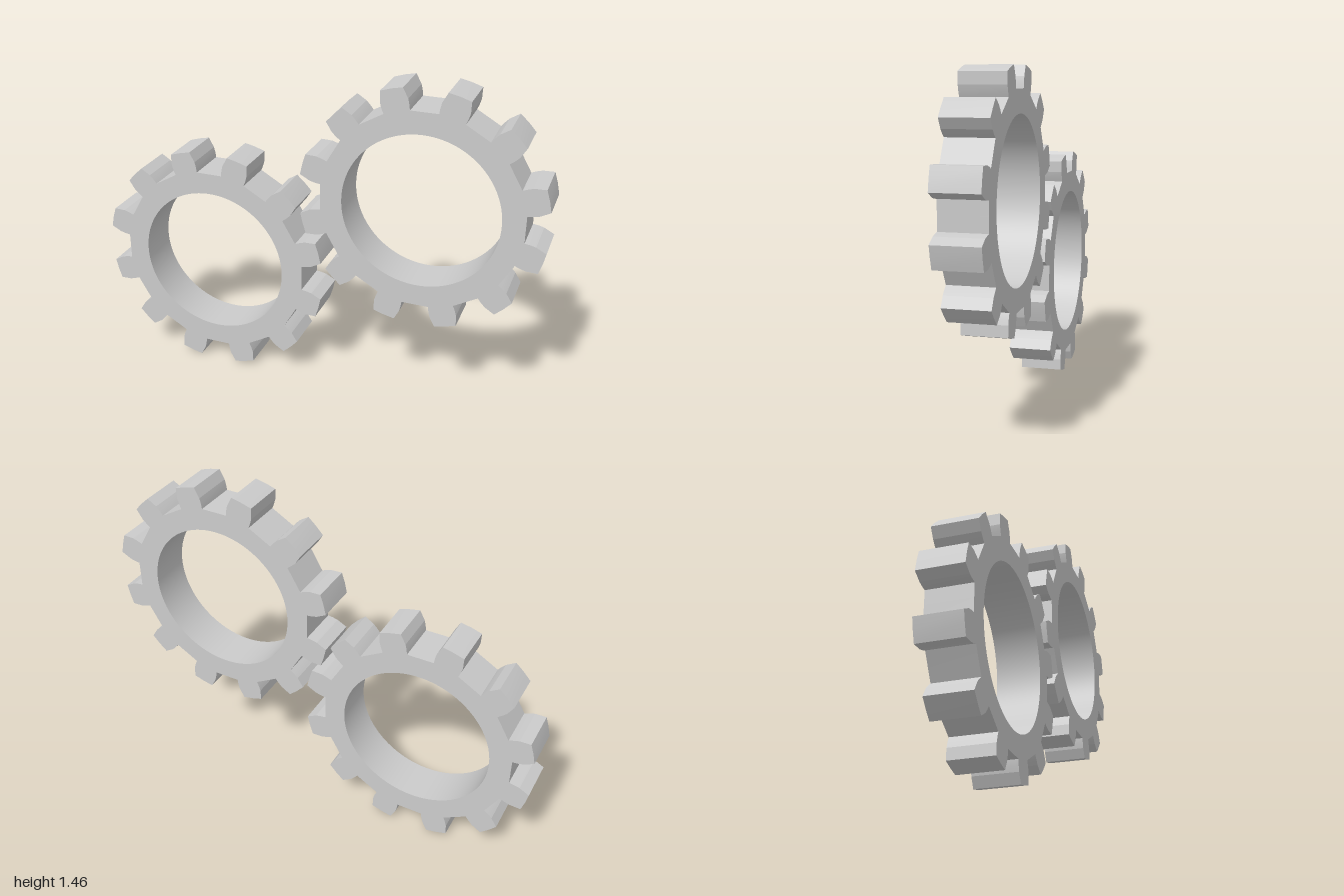
import * as THREE from 'three';
import { toCreasedNormals } from 'three/addons/utils/BufferGeometryUtils.js';

const TEETH = 12;
const DEPTH = 0.19;
const HOLE_RADIUS = 0.338;

// One tooth and the gullet after it: [degrees from tooth centre, radius]
const TOOTH = [
  [-7.3, 0.437], [-7.3, 0.46], [-7.0, 0.485], [-5.2, 0.531],
  [0, 0.531],
  [5.2, 0.531], [7.0, 0.485], [7.3, 0.46], [7.3, 0.437],
  [15, 0.433],
];

function gearGeometry() {
  const points = [];
  for (let i = 0; i < TEETH; i++) {
    const centre = 15 + (i * 360) / TEETH;
    for (const [offset, r] of TOOTH) {
      const a = THREE.MathUtils.degToRad(centre + offset);
      points.push(new THREE.Vector2(r * Math.cos(a), r * Math.sin(a)));
    }
  }
  const shape = new THREE.Shape(points);
  // Round bore through the ring
  shape.holes.push(new THREE.Path().absarc(0, 0, HOLE_RADIUS, 0, Math.PI * 2, true));
  const geometry = new THREE.ExtrudeGeometry(shape, {
    depth: DEPTH, bevelEnabled: false, curveSegments: 96,
  });
  geometry.translate(0, 0, -DEPTH / 2);
  return toCreasedNormals(geometry, 0.15);
}

export function createModel() {
  const model = new THREE.Group();
  model.name = 'gearPair';
  const geometry = gearGeometry();
  const material = new THREE.MeshStandardMaterial({ color: 0xcccccc });

  // Two identical meshing gears, one lower and one upper
  for (const [name, x, y] of [['lowerGear', -0.477, 0.523], ['upperGear', 0.477, 0.935]]) {
    const gear = new THREE.Mesh(geometry, material);
    gear.name = name;
    gear.position.set(x, y, 0);
    model.add(gear);
  }
  return model;
}
